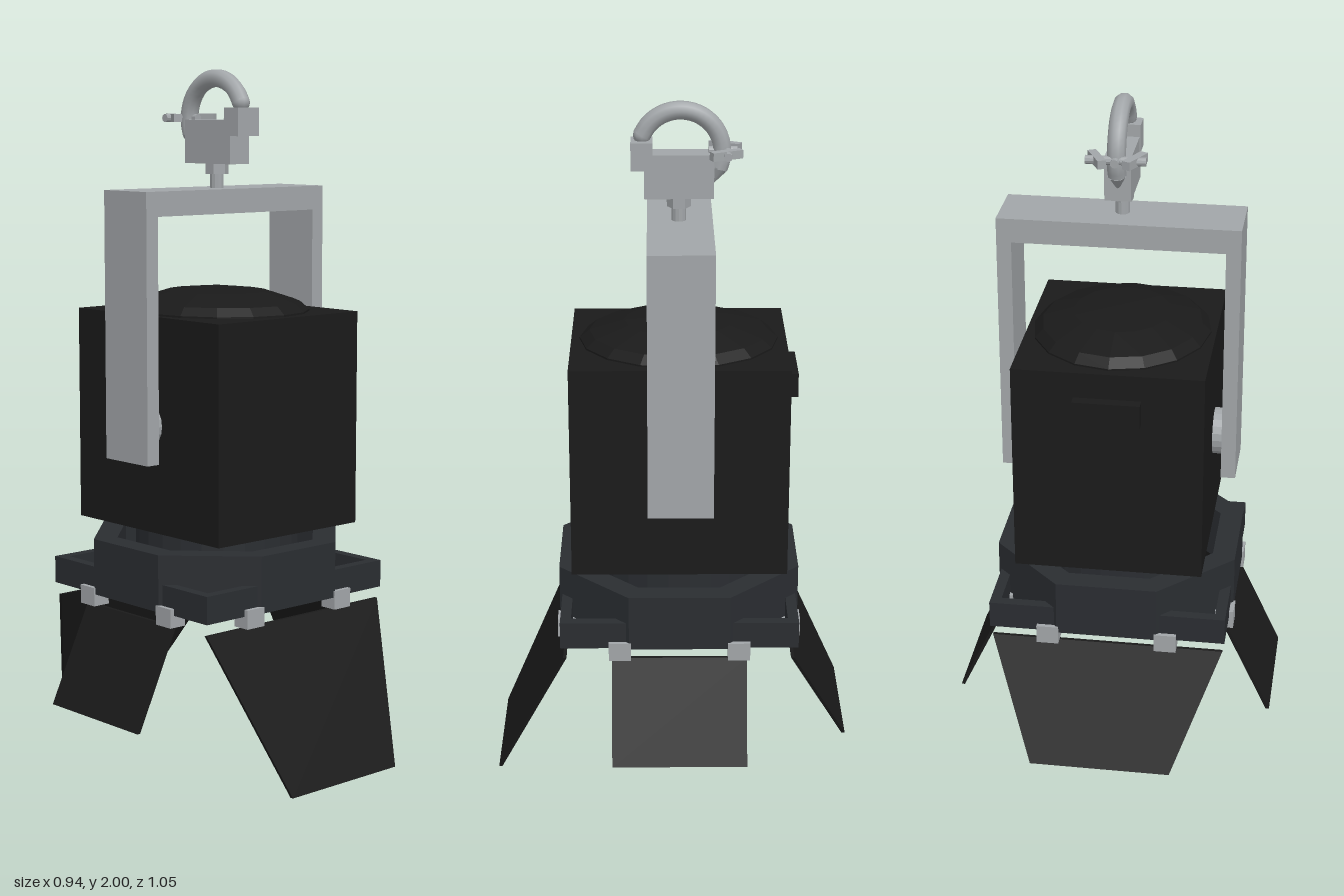
import * as THREE from 'three';

const material = (color, extra = {}) => new THREE.MeshStandardMaterial({ color, flatShading: true, ...extra });
const black = material(0x1a1a1a);
const bladeBlack = material(0x1a1a1a, { side: THREE.DoubleSide });
const dark = material(0x2a2d31);
const metal = material(0xa2a6a9);
const smoothMetal = material(0xa2a6a9, { flatShading: false, side: THREE.DoubleSide });
const glass = material(0x34383c);
const ZC = -0.022; // lamp axis

export function createModel() {
  const root = new THREE.Group();
  const add = (name, geometry, mat, x = 0, y = 0, z = 0, parent = root) => {
    const mesh = new THREE.Mesh(geometry, mat);
    mesh.name = name;
    mesh.position.set(x, y, z);
    parent.add(mesh);
    return mesh;
  };
  // box from its minimum and maximum corners
  const box = (name, mat, [x0, y0, z0], [x1, y1, z1]) =>
    add(name, new THREE.BoxGeometry(x1 - x0, y1 - y0, z1 - z0), mat, (x0 + x1) / 2, (y0 + y1) / 2, (z0 + z1) / 2);
  // upright ring with n sides; apothem sizes
  const ring = (name, mat, outer, inner, n, y0, y1) => {
    const loop = (a) => Array.from({ length: n }, (_, i) => {
      const t = ((i + 0.5) / n) * Math.PI * 2, r = a / Math.cos(Math.PI / n);
      return new THREE.Vector2(Math.cos(t) * r, Math.sin(t) * r);
    });
    const shape = new THREE.Shape(loop(outer));
    shape.holes.push(new THREE.Path(loop(inner)));
    const g = new THREE.ExtrudeGeometry(shape, { depth: y1 - y0, bevelEnabled: false });
    g.rotateX(-Math.PI / 2);
    return add(name, g, mat, 0, y0, ZC);
  };

  // Lamp housing, domed lid and rear handle
  box('housing', black, [-0.27, 0.68, -0.333], [0.27, 1.305, 0.288]);
  const lid = [[0.255, 1.3], [0.255, 1.31], [0.23, 1.333], [0.14, 1.363], [0, 1.378]]
    .map(([r, y]) => new THREE.Vector2(r, y));
  add('domedLid', new THREE.LatheGeometry(lid, 16), black, 0, 0, ZC).scale.z = 1.12;
  box('rearHandle', black, [-0.095, 1.16, -0.365], [0.095, 1.23, -0.33]);

  // Lens neck and lens
  ring('lensNeck', dark, 0.24, 0.2, 24, 0.56, 0.685);
  ring('lensRetainer', dark, 0.21, 0.165, 24, 0.6, 0.63);
  add('lens', new THREE.CylinderGeometry(0.2, 0.2, 0.02, 24), glass, 0, 0.65, ZC);

  // Octagonal collar and square accessory frame
  ring('octagonCollar', dark, 0.352, 0.285, 8, 0.48, 0.645);
  ring('squareFrame', dark, 0.344, 0.313, 4, 0.48, 0.56);

  // Hinge clips, two on each side
  for (const s of [-1, 1]) for (const k of [-1, 1]) {
    box('endClip', metal, [k * 0.172 - 0.032, 0.445, ZC + s * 0.33 - 0.027], [k * 0.172 + 0.032, 0.5, ZC + s * 0.33 + 0.027]);
    box('sideClip', metal, [s * 0.33 - 0.027, 0.445, ZC + k * 0.172 - 0.032], [s * 0.33 + 0.027, 0.5, ZC + k * 0.172 + 0.032]);
  }

  // Barn doors: blade with a wide top edge, hanging outwards by a rule on height
  const blade = (name, topHalf, bottomHalf, reach0, reach1, y0, y1, turn, z) => {
    const g = new THREE.BoxGeometry(2, 1, 0.01);
    const p = g.attributes.position;
    for (let i = 0; i < p.count; i++) {
      const t = p.getY(i) + 0.5; // 0 at the bottom
      p.setXYZ(i, p.getX(i) * THREE.MathUtils.lerp(bottomHalf, topHalf, t),
        THREE.MathUtils.lerp(y0, y1, t), p.getZ(i) + THREE.MathUtils.lerp(reach1, reach0, t));
    }
    g.computeVertexNormals();
    add(name, g, bladeBlack, 0, 0, z).rotation.y = turn;
  };
  blade('frontBarnDoor', 0.338, 0.205, 0.31, 0.518, 0.003, 0.445, 0, 0);
  blade('backBarnDoor', 0.338, 0.205, 0.35, 0.518, 0.115, 0.445, Math.PI, 0);
  for (const s of [-1, 1])
    blade('sideBarnDoor', 0.195, 0.195, 0.333, 0.467, 0.16, 0.445, s * Math.PI / 2, ZC);

  // Yoke cut from one flat outline, with pivots
  const outline = [[-0.342, 0.89], [-0.3, 0.89], [-0.3, 1.59], [0.3, 1.59], [0.3, 0.89], [0.342, 0.89], [0.342, 1.66], [-0.342, 1.66]];
  const yoke = new THREE.Shape(outline.map(([x, y]) => new THREE.Vector2(x, y)));
  add('yoke', new THREE.ExtrudeGeometry(yoke, { depth: 0.186, bevelEnabled: false }), metal, 0, 0, -0.118);
  for (const s of [-1, 1])
    add('yokePivot', new THREE.CylinderGeometry(0.068, 0.068, 0.04, 20), metal, s * 0.285, 0.993, ZC).rotation.z = Math.PI / 2;

  // Clamp: bolt, nut, body and lip
  add('clampBolt', new THREE.CylinderGeometry(0.02, 0.02, 0.09, 12), metal, 0, 1.695, ZC);
  add('clampNut', new THREE.CylinderGeometry(0.034, 0.034, 0.03, 6), metal, 0, 1.715, ZC);
  box('clampBody', metal, [-0.037, 1.73, -0.12], [0.037, 1.855, 0.075]);
  box('clampLip', metal, [-0.04, 1.81, 0.052], [0.04, 1.89, 0.113]);

  // Hook curling over the top and down the back, with a tapered tail
  const R = 0.117, a0 = 0.42, a1 = Math.PI * 1.13;
  const path = Array.from({ length: 13 }, (_, i) => {
    const a = a0 + (a1 - a0) * i / 12;
    return new THREE.Vector3(0, 1.857 + Math.sin(a) * R, -0.026 + Math.cos(a) * R);
  });
  const curve = new THREE.CatmullRomCurve3(path);
  add('clampHook', new THREE.TubeGeometry(curve, 24, 0.026, 10), smoothMetal);
  const [start, tail] = [path[0], path[12]];
  add('hookEnd', new THREE.SphereGeometry(0.026, 10, 8), smoothMetal, 0, start.y, start.z);
  const tip = add('hookTail', new THREE.ConeGeometry(0.026, 0.06, 10), smoothMetal, 0, tail.y - 0.026, tail.z + 0.012);
  tip.rotation.x = Math.PI - 0.41;

  // Wing bolt and cross pin behind the hook
  const bolt = add('wingBoltShank', new THREE.CylinderGeometry(0.012, 0.012, 0.08, 10), metal, 0, 1.86, -0.145);
  bolt.rotation.x = Math.PI / 2;
  add('crossPin', new THREE.CylinderGeometry(0.012, 0.012, 0.166, 10), metal, 0, 1.86, -0.157).rotation.z = Math.PI / 2;
  for (const s of [-1, 1])
    add('boltWing', new THREE.BoxGeometry(0.024, 0.024, 0.092), metal, s * 0.052, 1.86, -0.153).rotation.y = -s * -0.45;

  return root;
}
